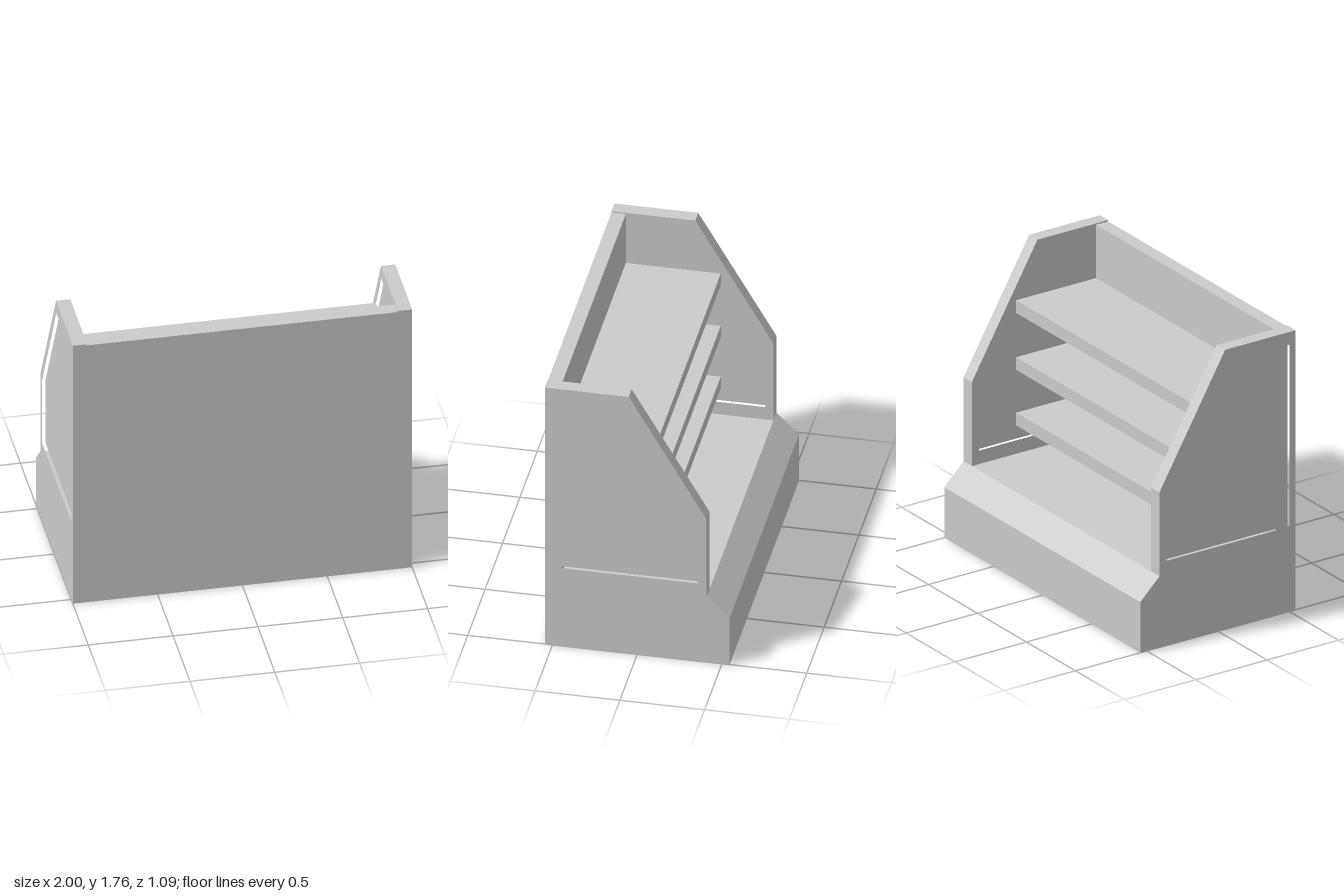
import * as THREE from 'three';

const material = new THREE.MeshStandardMaterial({ color: 0xcccccc, flatShading: true });
const SIDE = 0.085; // thickness of the side frames and back wall
const INNER = 1 - SIDE;

// Points are [z, y]; the profile is extruded along x from x0 to x1.
function profile(name, points, x0, x1, hole) {
  const toVectors = (list) => list.map(([z, y]) => new THREE.Vector2(-z, y));
  const shape = new THREE.Shape(toVectors(points));
  if (hole) shape.holes.push(new THREE.Path(toVectors(hole)));
  const geometry = new THREE.ExtrudeGeometry(shape, { depth: x1 - x0, bevelEnabled: false });
  geometry.rotateY(Math.PI / 2).translate(x0, 0, 0);
  const mesh = new THREE.Mesh(geometry, material);
  mesh.name = name;
  return mesh;
}

// Box spanning the space between the side frames.
function crossBoard(name, y0, y1, z0, z1) {
  const mesh = new THREE.Mesh(new THREE.BoxGeometry(2 * INNER, y1 - y0, z1 - z0), material);
  mesh.position.set(0, (y0 + y1) / 2, (z0 + z1) / 2);
  mesh.name = name;
  return mesh;
}

export function createModel() {
  const group = new THREE.Group();
  group.name = 'displayShelf';

  // Plinth with a sloped front lip
  group.add(profile('base', [[0.545, 0], [0.545, 0.45], [-0.41, 0.45], [-0.545, 0.32], [-0.545, 0]], -1, 1));

  // Side frames with an inset panel, recessed on both faces
  const outline = [[0.545, 0.45], [0.545, 1.765], [0.05, 1.765], [-0.41, 0.98], [-0.41, 0.45]];
  const opening = [[0.5, 0.535], [0.5, 1.685], [0.06, 1.685], [-0.36, 0.965], [-0.36, 0.535]];
  const recess = 0.02;
  for (const [label, x0] of [['left', INNER], ['right', -1]]) {
    group.add(profile(label + 'SideFrame', outline, x0, x0 + SIDE, opening));
    group.add(profile(label + 'SidePanel', opening, x0 + recess, x0 + SIDE - recess));
  }

  // Back wall, a touch lower than the side frames
  group.add(crossBoard('backWall', 0.45, 1.757, 0.46, 0.545));

  // Three equal shelves
  [0.71, 1.06, 1.42].forEach((top, i) => {
    group.add(crossBoard('shelf' + (i + 1), top - 0.08, top, -0.1, 0.46));
  });

  return group;
}
